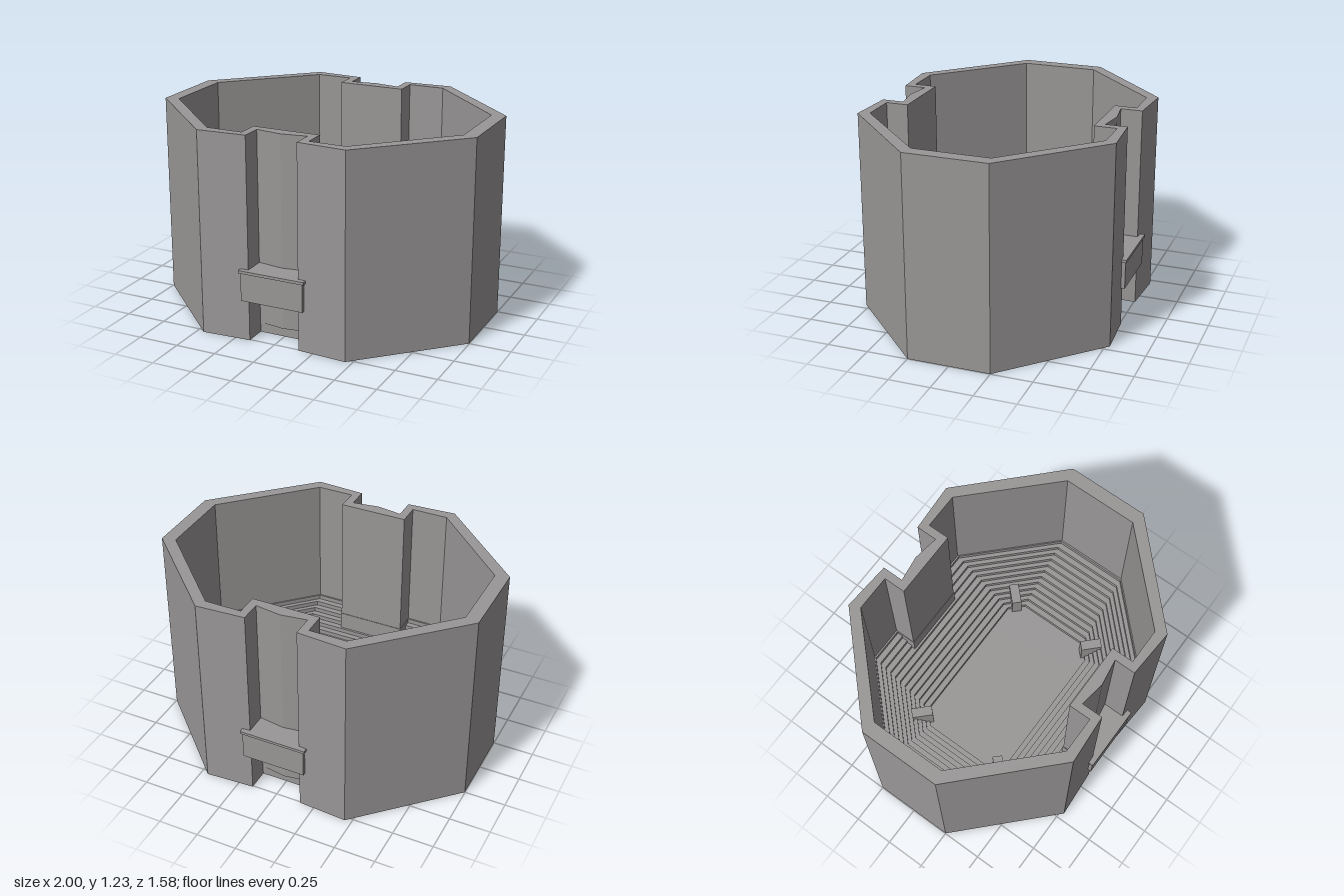
import * as THREE from 'three';

const HEIGHT = 1.23, FLOOR_BOTTOM = 0.06, FLOOR_TOP = 0.08;
const STEPS = 12, RISE = 0.028;

// Mirrors one quadrant (from the +x side towards the +z side) into a closed outline
function mirrored(quarter) {
  const back = [...quarter].reverse();
  return [
    ...quarter,
    ...back.map(([x, z]) => [-x, z]),
    ...quarter.map(([x, z]) => [-x, -z]),
    ...back.map(([x, z]) => [x, -z]),
  ].map(([x, z]) => new THREE.Vector2(x, z));
}

// Upright prism between two heights, with an optional hole
function prism(outline, hole, y0, y1) {
  const shape = new THREE.Shape(outline);
  if (hole) shape.holes.push(new THREE.Path(hole));
  const geo = new THREE.ExtrudeGeometry(shape, { depth: y1 - y0, bevelEnabled: false });
  geo.rotateX(-Math.PI / 2);
  geo.translate(0, y0, 0);
  return geo;
}

// Inner octagon shrunk by t, stepping around the niches where it reaches them
function bowlOutline(t, notchX, notchZ) {
  const z = 0.71 - t;
  const quarter = [[0.915 - t, 0.23], [0.43, z]];
  if (z > notchZ + 0.002) quarter.push([notchX, z], [notchX, notchZ]);
  return mirrored(quarter);
}

export function createModel() {
  const model = new THREE.Group();
  model.name = 'arena';
  const stone = new THREE.MeshStandardMaterial({ color: 0x999696 });
  stone.name = 'warm grey';

  const add = (name, geo, parent = model) => {
    const mesh = new THREE.Mesh(geo, stone);
    mesh.name = name;
    parent.add(mesh);
    return mesh;
  };
  const box = (name, w, y0, y1, z0, z1, parent) => {
    const geo = new THREE.BoxGeometry(w, y1 - y0, z1 - z0);
    geo.translate(0, (y0 + y1) / 2, (z0 + z1) / 2);
    return add(name, geo, parent);
  };

  // Outer wall with a niche in the front and back
  const outer = mirrored([[0.998, 0.25], [0.457, 0.776], [0.158, 0.757], [0.158, 0.625]]);
  const inner = bowlOutline(0, 0.208, 0.575);
  add('outerWall', prism(outer, inner, 0, HEIGHT));

  // Floor, raised off the ground
  add('floor', prism(inner, null, FLOOR_BOTTOM, FLOOR_TOP));

  // Terraces rising outwards from the floor
  const terraces = new THREE.Group();
  terraces.name = 'terraces';
  model.add(terraces);
  for (let i = 0; i < STEPS; i++) {
    const t = 0.4 - i * (0.39 / (STEPS - 1));
    const y = FLOOR_TOP + i * RISE;
    add('terrace', prism(inner, bowlOutline(t, 0.211, 0.572), y, y + RISE), terraces);
  }

  // Small blocks at the four corners of the floor
  for (const sx of [1, -1]) {
    for (const sz of [1, -1]) {
      const block = add('cornerBlock', new THREE.BoxGeometry(0.13, 0.15, 0.06));
      block.position.set(sx * 0.5, FLOOR_TOP + 0.075, sz * 0.3);
      block.rotation.y = -Math.atan2(sz, sx);
    }
  }

  // Entrance details inside each niche
  for (const angle of [0, Math.PI]) {
    const entrance = new THREE.Group();
    entrance.name = 'entrance';
    entrance.rotation.y = angle;
    model.add(entrance);

    // Slightly pointed back of the niche
    const wedge = [[-0.158, 0.62], [0.158, 0.62], [0.158, 0.627], [0, 0.65], [-0.158, 0.627]]
      .map(([x, z]) => new THREE.Vector2(x, -z));
    add('nicheBack', prism(wedge, null, FLOOR_BOTTOM, HEIGHT), entrance);

    // Balcony with its front panel and cap
    box('balcony', 0.314, 0.25, 0.42, 0.622, 0.77, entrance);
    box('balconyPanel', 0.392, 0.25, 0.42, 0.75, 0.782, entrance);
    box('balconyTop', 0.314, 0.42, 0.437, 0.622, 0.77, entrance);
    box('balconyCap', 0.414, 0.42, 0.437, 0.75, 0.79, entrance);
  }
  return model;
}
